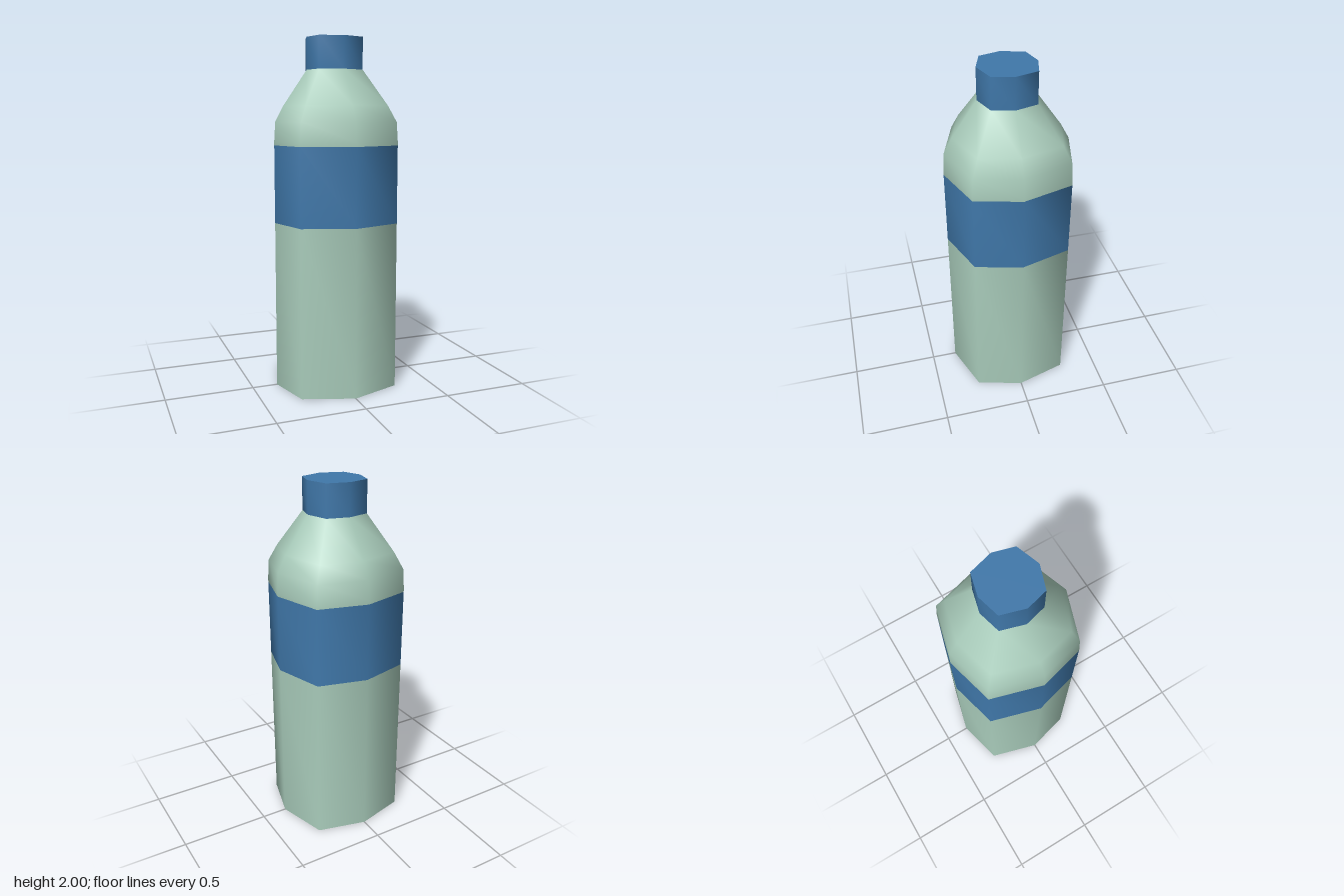
import * as THREE from 'three';
import { mergeVertices } from 'three/addons/utils/BufferGeometryUtils.js';

// Slightly uneven octagon as [x, z] at unit scale, running from +z towards +x
const RING = [
  [0, 0.355], [0.286, 0.257], [0.355, 0], [0.273, -0.286],
  [0, -0.356], [-0.273, -0.286], [-0.355, 0], [-0.286, 0.257],
];

// Sweeps a [scale, y] profile round the octagon, with smooth joined normals
function shell(profile) {
  const points = profile.map(([s, y]) => new THREE.Vector2(s, y));
  let geo = new THREE.LatheGeometry(points, RING.length);
  const pos = geo.attributes.position;
  for (let i = 0; i < pos.count; i++) {
    const [x, z] = RING[Math.floor(i / profile.length) % RING.length];
    const [s, y] = profile[i % profile.length];
    pos.setXYZ(i, x * s, y, z * s);
  }
  geo.deleteAttribute('uv');
  geo.deleteAttribute('normal');
  geo = mergeVertices(geo);
  geo.computeVertexNormals();
  return geo;
}

export function createModel() {
  const model = new THREE.Group();
  model.name = 'bottle';
  const mint = new THREE.MeshStandardMaterial({ name: 'mint green', color: 0xa9ccbb });
  const blue = new THREE.MeshStandardMaterial({ name: 'blue', color: 0x4078aa });

  const add = (name, material, profile) => {
    const mesh = new THREE.Mesh(shell(profile), material);
    mesh.name = name;
    model.add(mesh);
  };

  // Body, from the base up to the neck
  add('base', mint, [[0, 0], [1, 0]]);
  add('lowerBody', mint, [[1, 0], [1, 0.96]]);
  add('labelBand', blue, [[1, 0.96], [1, 1.4]]);
  add('shoulder', mint, [[1, 1.4], [1, 1.42], [0.98, 1.53], [0.845, 1.62], [0.455, 1.82]]);

  // Cap
  add('capSide', blue, [[0.455, 1.82], [0.455, 2]]);
  add('capTop', blue, [[0.455, 2], [0, 2]]);
  return model;
}
